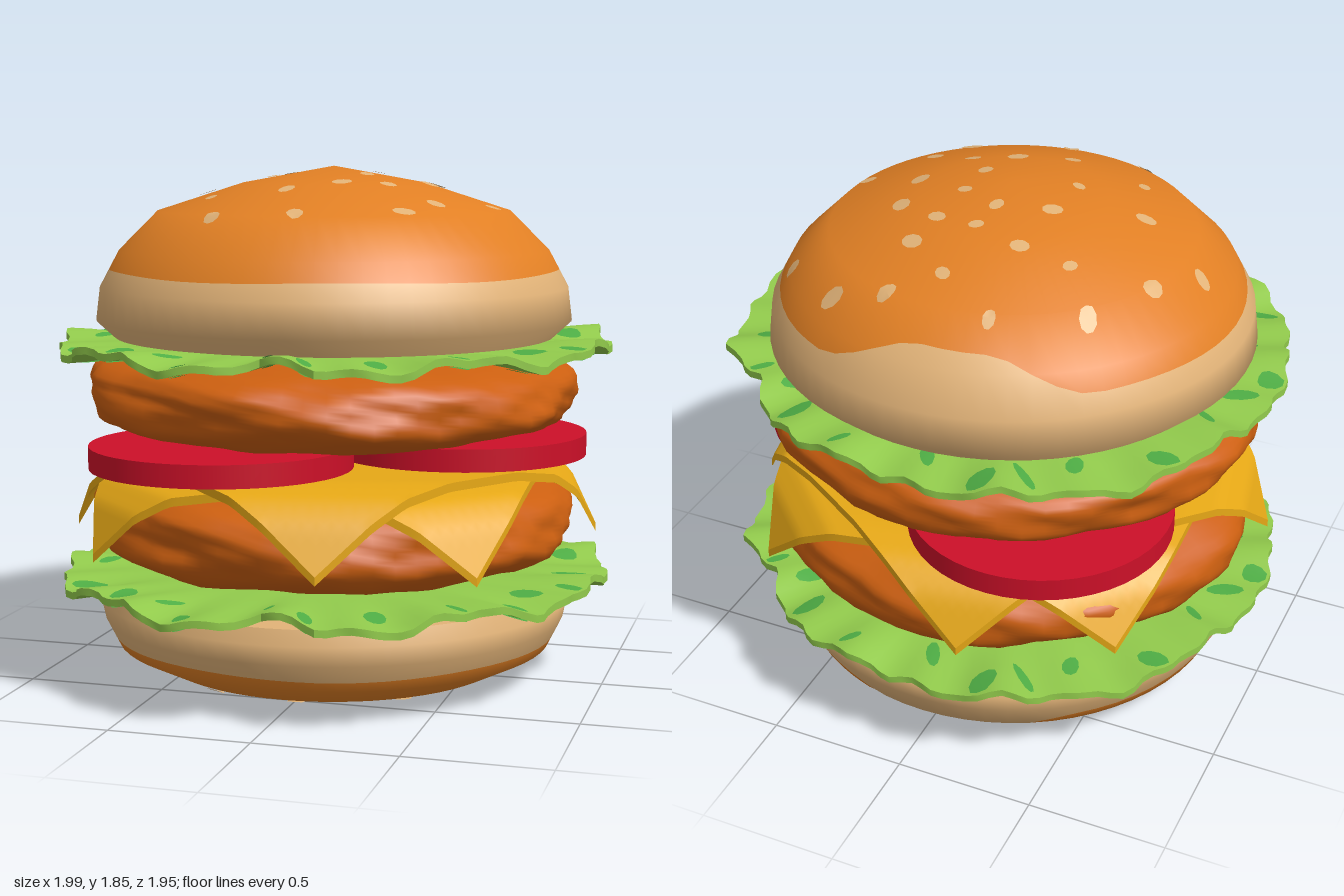
import * as THREE from 'three';
import { mergeGeometries, mergeVertices, toCreasedNormals } from 'three/addons/utils/BufferGeometryUtils.js';

const mat = (name, color, side = THREE.FrontSide) => {
  const m = new THREE.MeshStandardMaterial({ color, side });
  m.name = name;
  return m;
};

const part = (name, geometry, material, parent) => {
  const m = new THREE.Mesh(geometry, material);
  m.name = name;
  parent.add(m);
  return m;
};

// Move every vertex of a geometry by a rule
function deform(geo, rule) {
  const p = geo.attributes.position, v = new THREE.Vector3();
  for (let i = 0; i < p.count; i++) {
    rule(v.fromBufferAttribute(p, i));
    p.setXYZ(i, v.x, v.y, v.z);
  }
  geo.computeVertexNormals();
  return geo;
}

// Piecewise linear lookup, xs ascending
function lookup(xs, ys, x) {
  if (x <= xs[0]) return ys[0];
  for (let i = 1; i < xs.length; i++) {
    if (x <= xs[i]) return ys[i - 1] + (ys[i] - ys[i - 1]) * (x - xs[i - 1]) / (xs[i] - xs[i - 1]);
  }
  return ys[ys.length - 1];
}

// Sesame seed centres, x and z
const seedSpots = [
  [-.19, -.65], [.18, -.64], [.39, -.63], [.03, -.53], [-.47, -.5], [-.34, -.34], [-.16, -.34], [.2, -.41],
  [.66, -.42], [-.6, -.26], [.02, -.29], [.17, -.28], [.34, -.21], [0, -.17], [-.18, -.11], [.15, -.1],
  [-.7, -.05], [.36, -.02], [.6, .04], [-.45, .07], [-.19, .1], [.15, .07], [.11, .26], [.26, .2],
  [.45, .28], [-.35, .32], [-.06, .36], [.38, .45], [-.26, .57], [.04, .59],
];

// Bun half: pale base, browned crust with a wavy edge, and seeds; flip = -1 turns it over
function bun(name, profile, edge, bump, flip, mats) {
  const g = new THREE.Group();
  g.name = name;
  const rs = profile.map(p => p[0]), hs = profile.map(p => p[1]);
  const radius = y => lookup(hs, rs, y);
  const height = r => lookup(rs.slice(1).reverse(), hs.slice(1).reverse(), r);
  const crustEdge = (x, z) => {
    const phi = Math.atan2(x, flip * z);
    const d = (phi < 0 ? phi + 2 * Math.PI : phi) - Math.PI;
    const lift = THREE.MathUtils.smoothstep(d, -.5, 0) * (1 - THREE.MathUtils.smoothstep(d, .3, .75));
    return edge + bump * lift + .004 * Math.sin(5 * phi);
  };
  const shell = clamp => {
    const geo = new THREE.LatheGeometry(profile.map(([r, y]) => new THREE.Vector2(Math.max(r, 1e-4), y)), 64);
    deform(geo, v => {
      const a = Math.atan2(v.x, v.z);
      v.y = clamp(v.y, crustEdge(v.x, v.z));
      const r = radius(v.y);
      v.x = Math.max(r, 1e-4) * Math.sin(a);
      v.z = Math.max(r, 1e-4) * Math.cos(a);
    });
    // Smooth normals from the slope of the profile
    const p = geo.attributes.position, n = new THREE.Vector3(), d = hs[hs.length - 1] * .07;
    for (let i = 0; i < p.count; i++) {
      const y = p.getY(i), r = Math.hypot(p.getX(i), p.getZ(i));
      const slope = (radius(y + d) - radius(y - d)) / (2 * d);
      if (r < .01) n.set(0, 1, 0);
      else n.set(p.getX(i) / r, -slope, p.getZ(i) / r).normalize();
      geo.attributes.normal.setXYZ(i, n.x, n.y, n.z);
    }
    return geo;
  };
  part('bunCrumb', shell(Math.min), mats.crumb, g);
  part('bunCrust', shell(Math.max), mats.crust, g);
  part('bunCutFace', new THREE.CircleGeometry(rs[0], 64).rotateX(Math.PI / 2), mats.crumb, g);
  const seeds = seedSpots.map(([x, z], i) => {
    const size = .025 + .012 * ((i * 7) % 5) / 4;
    const geo = new THREE.CircleGeometry(1, 9).rotateX(-Math.PI / 2);
    geo.scale(size * .85, 1, size * 1.1).rotateY(i * 2.4);
    return deform(geo, v => {
      v.x += x;
      v.z += (z + .025) * flip;
      v.y = height(Math.hypot(v.x, v.z)) + .006;
    });
  });
  part('sesameSeeds', mergeGeometries(seeds), mats.crumb, g);
  if (flip < 0) g.rotation.x = Math.PI;
  return g;
}

// Lettuce outline: radius every 12 degrees, from the front towards +x
const leafRadii = [
  .88, .96, .97, .95, .91, .97, .97, .98, 1, .99, 1.02, .93, .97, .99, .98,
  .96, 1, 1.01, 1, 1.01, .99, .97, .98, .99, .97, 1, 1, .97, 1, 1,
];
function leafRadius(a) {
  const t = ((a / (2 * Math.PI) + 1) % 1) * 30, i = Math.floor(t) % 30;
  return THREE.MathUtils.lerp(leafRadii[i], leafRadii[(i + 1) % 30], t % 1) + .01 * Math.sin(37 * a);
}
const leafWave = (a, f) => THREE.MathUtils.smoothstep(f, .65, 1) *
  (.018 * Math.sin(9 * a + 1) + .013 * Math.sin(22 * a));

function lettuce(mats) {
  const g = new THREE.Group();
  g.name = 'lettuce';
  const t = .013, rings = [1e-4, .6, .75, .85, .93, 1];
  const pts = [...rings.map(r => new THREE.Vector2(r, -t)), ...rings.slice().reverse().map(r => new THREE.Vector2(r, t))];
  const drape = v => {
    const a = Math.atan2(v.x, v.z), f = Math.hypot(v.x, v.z), r = f * leafRadius(a);
    v.set(r * Math.sin(a), v.y + leafWave(a, f), r * Math.cos(a));
  };
  part('leaf', toCreasedNormals(deform(new THREE.LatheGeometry(pts, 150), drape), .7), mats.leaf, g);
  // Darker blotches on both faces
  const blotches = [];
  for (const side of [1, -1]) {
    for (let i = 0; i < 26; i++) {
      const a = i * 2 * Math.PI / 26 + .08 * Math.sin(i * 5), f = .9 + .05 * Math.sin(i * 2.3);
      const geo = new THREE.CircleGeometry(1, 10).rotateX(-Math.PI / 2);
      geo.scale(.018 + .012 * (i % 3), 1, .05 + .008 * (i % 4)).rotateY(a + .7 * Math.sin(i * 3.1));
      blotches.push(deform(geo, v => {
        v.x += f * Math.sin(a);
        v.z += f * Math.cos(a);
        const over = Math.hypot(v.x, v.z);
        if (over > .99) { v.x *= .99 / over; v.z *= .99 / over; }
        v.y = side * (t + .004);
        drape(v);
      }));
    }
  }
  part('leafBlotches', mergeGeometries(blotches), mats.blotch, g);
  return g;
}

// Lumpy fried patty: a rounded slab with ripples
function patty(R, H, seed) {
  let geo = new THREE.SphereGeometry(1, 72, 40);
  geo.deleteAttribute('uv');
  geo.deleteAttribute('normal');
  geo = mergeVertices(geo, 1e-4);
  return deform(geo, v => {
    const { x, y, z } = v, h = Math.hypot(x, z);
    const s = Math.pow(Math.pow(h, 3) + Math.pow(Math.abs(y), 3), -1 / 3);
    const lump = .018 * Math.sin(6 * x + 5 * y + seed) * Math.cos(6 * z + seed)
      + .012 * Math.sin(13 * z + 4 * y + seed) * Math.cos(12 * x - 5 * y)
      + .007 * Math.sin(21 * x + 9 * y) * Math.sin(20 * z - 8 * y + seed);
    v.set(x * s * R * (1 + lump), y * s * H * (1 + 2 * lump), z * s * R * (1 + lump));
  });
}

// Square cheese slice whose corners fold down over the patty
function cheese() {
  const side = 1.09 * Math.SQRT2, path = [0, .66, .8, .91, 1.09];
  const geo = new THREE.BoxGeometry(side, .03, side, 44, 1, 44).rotateY(Math.PI / 4);
  return deform(geo, v => {
    const along = Math.abs(v.x) > Math.abs(v.z) ? 'x' : 'z', d = Math.abs(v[along]);
    v.y += lookup(path, [0, 0, -.03, -.1, -.26], d);
    v[along] = Math.sign(v[along]) * lookup(path, [0, .66, .8, .88, .96], d);
  });
}

export function createModel() {
  const model = new THREE.Group();
  model.name = 'burger';
  const mats = {
    crumb: mat('bunTan', 0xe2b378, THREE.DoubleSide),
    crust: mat('crustOrange', 0xe28024),
    leaf: mat('lettuceGreen', 0x92cb4c),
    blotch: mat('lettuceDarkGreen', 0x4fae45, THREE.DoubleSide),
    patty: mat('friedBrown', 0xcc5f10),
    cheese: mat('cheeseYellow', 0xe6a816),
    tomato: mat('tomatoRed', 0xcc1028),
  };

  // Buns
  const top = bun('topBun', [[.8, 0], [.865, .06], [.85, .18], [.78, .31], [.64, .45], [.33, .55], [0, .61]],
    .24, .12, 1, mats);
  top.position.set(-.01, 1.24, -.025);
  const bottom = bun('bottomBun', [[.83, 0], [.865, .05], [.85, .12], [.8, .22], [.64, .3], [.33, .325], [0, .33]],
    .18, .07, -1, mats);
  bottom.position.set(-.01, .335, -.025);
  model.add(top, bottom);

  // Lettuce layers
  for (const y of [.375, 1.215]) {
    const leaf = lettuce(mats);
    leaf.position.y = y;
    model.add(leaf);
  }

  // Patties
  part('lowerPatty', patty(.87, .2, 1), mats.patty, model).position.set(-.015, .585, -.015);
  part('upperPatty', patty(.885, .175, 4), mats.patty, model).position.set(-.02, 1.045, -.025);

  // Cheese slices
  [[.795, .21], [.765, Math.PI / 4]].forEach(([y, turn]) => {
    const slice = part('cheeseSlice', cheese(), mats.cheese, model);
    slice.position.y = y;
    slice.rotation.y = turn;
  });

  // Tomato slices
  [[-.28, .46], [.45, -.07], [-.31, -.47]].forEach(([x, z], i) => {
    part('tomatoSlice', new THREE.CylinderGeometry(.463, .463, .08, 48), mats.tomato, model)
      .position.set(x, .854 + i * .002, z);
  });
  return model;
}
